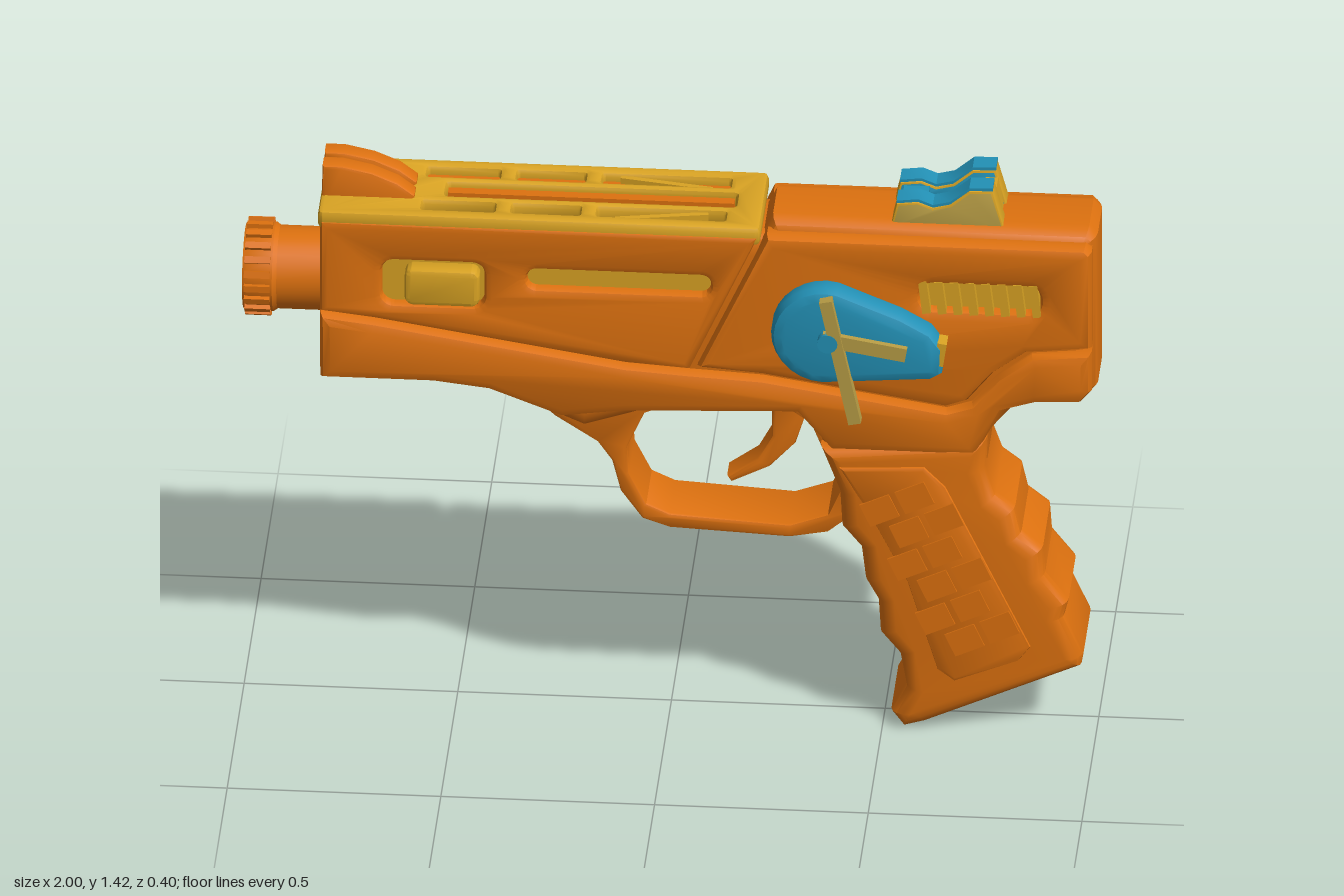
import * as THREE from 'three';
import { toCreasedNormals } from 'three/addons/utils/BufferGeometryUtils.js';

const mat = (name, color) => Object.assign(new THREE.MeshStandardMaterial({ color }), { name });
const orange = mat('orange plastic', 0xdd710f);
const gold = mat('gold plastic', 0xd9a323);
const brass = mat('brass', 0xb89d45);
const blue = mat('blue plastic', 0x2391b6);

const toShape = (pts) => new THREE.Shape(pts.map(([x, y]) => new THREE.Vector2(x, y)));

// Rectangle with rounded corners, given by its limits
function roundRect(x0, x1, y0, y1, r) {
  const s = new THREE.Shape();
  s.absarc(x1 - r, y1 - r, r, 0, Math.PI / 2);
  s.absarc(x0 + r, y1 - r, r, Math.PI / 2, Math.PI);
  s.absarc(x0 + r, y0 + r, r, Math.PI, Math.PI * 1.5);
  s.absarc(x1 - r, y0 + r, r, Math.PI * 1.5, Math.PI * 2);
  s.closePath();
  return s;
}

// Bevelled slab between two z depths; the outline keeps its drawn size
function slab(name, outline, z0, z1, bevel, material, holes = []) {
  const s = Array.isArray(outline) ? toShape(outline) : outline;
  s.holes.push(...holes);
  const geo = new THREE.ExtrudeGeometry(s, {
    depth: z1 - z0 - 2 * bevel, bevelEnabled: bevel > 0, bevelSize: bevel, bevelThickness: bevel,
    bevelOffset: -bevel, bevelSegments: bevel > 0.03 ? 4 : 2, curveSegments: 8,
  });
  geo.translate(0, 0, z0 + bevel);
  const mesh = new THREE.Mesh(toCreasedNormals(geo, 0.6), material);
  mesh.name = name;
  return mesh;
}

// Slab on one side of the body: side is +1 or -1, a and b are distances from the middle
const sideSlab = (name, outline, side, a, b, bevel, material, holes) =>
  slab(name, outline, side > 0 ? a : -b, side > 0 ? b : -a, bevel, material, holes);

function box(name, w, h, d, x, y, z, material, rotZ = 0) {
  const m = new THREE.Mesh(new THREE.BoxGeometry(w, h, d), material);
  m.position.set(x, y, z);
  m.rotation.z = rotZ;
  m.name = name;
  return m;
}

export function createModel() {
  const root = new THREE.Group();
  root.name = 'toyBlaster';
  const g = new THREE.Group();
  g.name = 'blaster';
  g.position.z = -0.035;
  root.add(g);

  // Inner body
  g.add(slab('bodyCore', [[-0.82, 0.87], [-0.55, 0.87], [-0.42, 0.85], [-0.27, 0.78], [-0.2, 0.75], [-0.05, 0.8],
    [0, 0.82], [0.28, 0.82], [0.34, 0.77], [0.37, 0.68], [0.74, 0.68], [0.75, 0.78], [0.8, 0.84], [0.86, 0.87],
    [0.97, 0.875], [1, 0.91], [1, 1.31], [0.98, 1.33], [0.24, 1.33], [0.22, 1.29], [-0.82, 1.29]],
    -0.11, 0.11, 0.05, orange));

  // Side shells with seams and openings
  for (const s of [1, -1]) {
    g.add(sideSlab('frontShell', [[-0.815, 1.305], [-0.815, 1.062], [-0.69, 1.048], [-0.1, 0.954], [0.05, 0.944],
      [0.212, 1.305]], s, 0.06, 0.145, 0.018, orange,
      [roundRect(-0.67, -0.43, 1.09, 1.205, 0.03), roundRect(-0.33, 0.1, 1.145, 1.195, 0.024)]));
    g.add(sideSlab('rearShell', [[0.23, 1.305], [0.068, 0.948], [0.22, 0.935], [0.65, 0.867], [0.7, 0.885],
      [0.76, 0.96], [0.84, 1.02], [0.99, 1.036], [0.99, 1.29], [0.975, 1.305]], s, 0.06, 0.145, 0.025, orange,
      [roundRect(0.59, 0.87, 1.13, 1.195, 0.03)]));
    g.add(sideSlab('lowerShell', [[-0.815, 0.88], [-0.55, 0.88], [-0.42, 0.865], [-0.25, 0.8], [-0.1, 0.82],
      [0.3, 0.835], [0.38, 0.74], [0.72, 0.74], [0.78, 0.86], [0.86, 0.885], [0.965, 0.89], [0.99, 0.92],
      [0.99, 1.024], [0.85, 1.01], [0.77, 0.95], [0.71, 0.875], [0.65, 0.855], [0.22, 0.923], [0.05, 0.932],
      [-0.1, 0.942], [-0.69, 1.036], [-0.815, 1.05]], s, 0.05, 0.143, 0.025, orange));

    // Gold window with raised block
    g.add(sideSlab('windowBacking', roundRect(-0.69, -0.41, 1.07, 1.225, 0.03), s, 0.108, 0.117, 0, gold));
    g.add(sideSlab('windowBlock', roundRect(-0.615, -0.44, 1.1, 1.195, 0.02), s, 0.11, 0.165, 0.012, gold));
    if (s > 0) g.add(sideSlab('slotBacking', roundRect(-0.35, 0.12, 1.125, 1.215, 0.03), s, 0.108, 0.117, 0, gold));

    // Gold ribbed vent
    g.add(sideSlab('ventBacking', roundRect(0.57, 0.89, 1.11, 1.215, 0.03), s, 0.108, 0.117, 0, gold));
    for (let i = 0; i < 8; i++) {
      g.add(box('ventRib', 0.02, 0.085, 0.03, 0.6 + i * 0.037, 1.163, s * 0.127, gold, 0.12));
    }
  }

  // Trigger guard and trigger
  const guardHole = toShape([[-0.1, 0.7], [-0.06, 0.79], [0, 0.815], [0.28, 0.815], [0.33, 0.78], [0.37, 0.68],
    [0.4, 0.61], [0.37, 0.54], [0.28, 0.508], [0, 0.525], [-0.055, 0.55], [-0.095, 0.63]]);
  g.add(slab('triggerGuard', [[-0.34, 0.84], [-0.27, 0.775], [-0.17, 0.71], [-0.135, 0.66], [-0.115, 0.58],
    [-0.065, 0.51], [0, 0.488], [0.28, 0.475], [0.37, 0.492], [0.44, 0.55], [0.47, 0.7], [0.4, 0.87], [-0.3, 0.87]],
    -0.085, 0.085, 0.008, orange, [guardHole]));
  g.add(slab('trigger', [[0.19, 0.85], [0.235, 0.79], [0.235, 0.72], [0.2, 0.655], [0.13, 0.605], [0.14, 0.59],
    [0.23, 0.635], [0.29, 0.7], [0.315, 0.78], [0.31, 0.85]], -0.04, 0.04, 0.01, orange));

  // Grip with finger ridges
  g.add(slab('grip', [[0.355, 0.74], [0.4, 0.62], [0.405, 0.53], [0.45, 0.475], [0.46, 0.39], [0.49, 0.335],
    [0.495, 0.25], [0.54, 0.195], [0.555, 0.11], [0.52, 0.04], [0.55, 0], [0.6, 0.015], [0.965, 0.18],
    [0.97, 0.21], [0.925, 0.31], [0.935, 0.35], [0.88, 0.42], [0.875, 0.49], [0.825, 0.53], [0.81, 0.595],
    [0.765, 0.63], [0.74, 0.7], [0.745, 0.78]], -0.14, 0.14, 0.04, orange));
  const tilt = 0.43;
  for (const s of [1, -1]) {
    g.add(sideSlab('gripPanel', [[0.4, 0.7], [0.6, 0.71], [0.65, 0.66], [0.85, 0.24], [0.82, 0.2], [0.67, 0.14],
      [0.63, 0.17], [0.56, 0.4], [0.47, 0.58]], s, 0.12, 0.147, 0.01, orange));
    // Staggered grip blocks
    for (let row = 0; row < 6; row++) for (let col = 0; col < 2; col++) {
      const u = (col - 0.5) * 0.09 + (row % 2 ? 0.02 : -0.02), v = row * 0.078;
      g.add(box('gripBlock', 0.075, 0.062, 0.006, 0.555 + v * Math.sin(tilt) + u * Math.cos(tilt),
        0.62 - v * Math.cos(tilt) + u * Math.sin(tilt), s * 0.148, orange, tilt));
    }
  }

  // Hollow barrel and ribbed muzzle ring
  const barrelGeo = new THREE.LatheGeometry([[0.098, -0.22], [0.098, -0.08], [0.105, -0.07], [0.105, -0.01],
    [0.1, 0], [0.06, 0], [0.05, -0.01], [0.05, -0.2]].map(([r, y]) => new THREE.Vector2(r, y)), 32);
  barrelGeo.rotateZ(Math.PI / 2);
  const barrel = new THREE.Mesh(toCreasedNormals(barrelGeo, 0.6), orange);
  barrel.name = 'barrel';
  barrel.position.set(-1, 1.1, 0);
  g.add(barrel);
  for (let i = 0; i < 20; i++) {
    const a = (i / 20) * Math.PI * 2;
    const rib = box('muzzleRib', 0.06, 0.022, 0.016, -0.965, 1.1 + Math.cos(a) * 0.104, Math.sin(a) * 0.104, orange);
    rib.rotation.x = a;
    g.add(rib);
  }

  // Gold top rail with windows, and the ridge in its slot
  const railHoles = [roundRect(-0.53, 0.15, -0.032, 0.032, 0.01)];
  for (const [a, b] of [[-0.58, -0.41], [-0.37, -0.21], [-0.17, 0.13]]) {
    railHoles.push(roundRect(a, b, 0.058, 0.1, 0.006), roundRect(a, b, -0.1, -0.058, 0.006));
  }
  const rail = slab('topRail', roundRect(-0.82, 0.215, -0.138, 0.138, 0.014), 1.28, 1.328, 0.012, gold, railHoles);
  rail.geometry.rotateX(-Math.PI / 2);
  g.add(rail);
  g.add(box('railRidge', 0.67, 0.04, 0.026, -0.19, 1.302, 0, orange));
  for (const s of [1, -1]) {
    const brace = box('railBrace', 0.22, 0.03, 0.014, -0.02, 1.305, s * 0.079, gold);
    brace.rotation.y = s * 0.18;
    g.add(brace);
  }

  // Twin front sight fins
  for (const s of [1, -1]) {
    g.add(sideSlab('frontSight', [[-0.818, 1.29], [-0.6, 1.29], [-0.6, 1.335], [-0.64, 1.365], [-0.7, 1.39],
      [-0.77, 1.405], [-0.815, 1.405]], s, 0.006, 0.058, 0.008, orange));
  }

  // Rear sight: gold fins with blue caps
  const sightTop = [[0.53, 1.376], [0.58, 1.382], [0.615, 1.368], [0.655, 1.378], [0.7, 1.416], [0.755, 1.418]];
  for (const s of [1, -1]) {
    const profile = [[0.515, 1.31], [0.785, 1.31], ...[...sightTop].reverse()];
    g.add(sideSlab('rearSight', profile, s, 0.022, 0.078, 0.006, [s > 0 ? brass : blue, gold]));
    const cap = [...sightTop, ...sightTop.map(([x, y]) => [x, y + 0.007]).reverse()];
    g.add(sideSlab('rearSightCap', cap, s, 0.024, 0.076, 0, blue));
  }
  g.add(slab('rearSightNotch', [[0.72, 1.32], [0.775, 1.32], [0.76, 1.4], [0.73, 1.4]], -0.03, 0.03, 0, gold));
  g.add(box('rearSightBridge', 0.06, 0.05, 0.06, 0.57, 1.345, 0, blue));

  // Blue selector dial with its lever
  const dial = new THREE.Shape();
  dial.absarc(0.37, 1.08, 0.125, Math.PI * 0.42, Math.PI * 1.56);
  for (const [x, y] of [[0.62, 0.975], [0.645, 0.99], [0.648, 1.06], [0.62, 1.1], [0.55, 1.14]]) dial.lineTo(x, y);
  dial.closePath();
  g.add(slab('selectorDial', dial, 0.13, 0.212, 0.025, blue));
  g.add(box('leverArm', 0.03, 0.33, 0.03, 0.41, 1.03, 0.219, brass, 0.21));
  g.add(box('leverCrossArm', 0.2, 0.035, 0.022, 0.465, 1.07, 0.216, brass, -0.17));
  g.add(box('leverStop', 0.022, 0.06, 0.045, 0.642, 1.045, 0.18, gold, -0.15));
  const pivot = new THREE.Mesh(new THREE.CylinderGeometry(0.024, 0.024, 0.03, 16).rotateX(Math.PI / 2), blue);
  pivot.name = 'leverPivot';
  pivot.position.set(0.38, 1.08, 0.22);
  g.add(pivot);

  return root;
}
